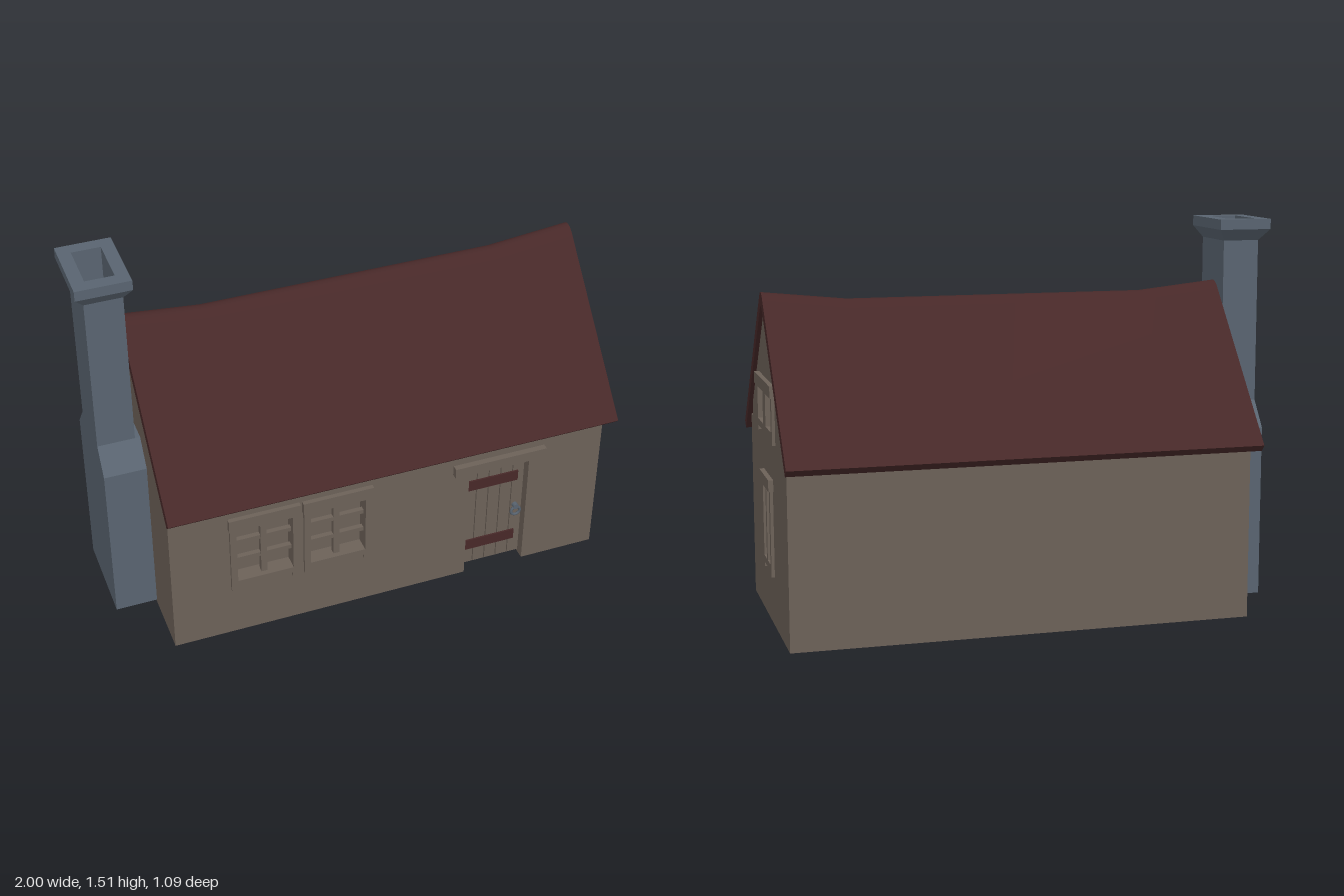
import * as THREE from 'three';
import { toCreasedNormals } from 'three/addons/utils/BufferGeometryUtils.js';

const mat = (name, color) => {
  const m = new THREE.MeshStandardMaterial({ color });
  m.name = name;
  return m;
};

export function createModel() {
  const plaster = mat('taupe plaster', 0x6c6158);
  const tile = mat('dark red', 0x472828);
  const stone = mat('blue grey stone', 0x596470);
  const house = new THREE.Group();
  house.name = 'cottage';

  const add = (parent, name, geo, material) => {
    const m = new THREE.Mesh(geo, material);
    m.name = name;
    parent.add(m);
    return m;
  };
  const box = (parent, name, material, x0, x1, y0, y1, z0, z1) => {
    const m = add(parent, name, new THREE.BoxGeometry(x1 - x0, y1 - y0, z1 - z0), material);
    m.position.set((x0 + x1) / 2, (y0 + y1) / 2, (z0 + z1) / 2);
    return m;
  };
  const poly = (pts) => pts.map(([a, b]) => new THREE.Vector2(a, b));
  const rect = (x0, x1, y0, y1) => [[x0, y0], [x1, y0], [x1, y1], [x0, y1]];
  // Flat panel in XY, running from z0 to z1
  const panel = (pts, holes, z0, z1, steps = 1) => {
    const shape = new THREE.Shape(poly(pts));
    shape.holes = holes.map((h) => new THREE.Path(poly(h)));
    return new THREE.ExtrudeGeometry(shape, { depth: z1 - z0, steps, bevelEnabled: false }).translate(0, 0, z0);
  };
  // Profile given as [z, y], running along x
  const prismX = (pts, holes, x0, x1, steps) => {
    const flip = (p) => p.map(([z, y]) => [-z, y]);
    return panel(flip(pts), holes.map(flip), x0, x1, steps).rotateY(Math.PI / 2);
  };
  // Plan rectangle with a hole, running upwards
  const ringY = (x0, x1, z0, z1, hole, y0, y1) =>
    panel(rect(x0, x1, -z1, -z0), [hole], y0, y1).rotateX(-Math.PI / 2);
  // Sagging ridge: place the four stations and lower the middle ones
  const sag = (geo, stations, base) => {
    const p = geo.attributes.position;
    const x0 = stations[0], span = stations[3] - x0;
    for (let i = 0; i < p.count; i++) {
      const k = Math.round(((p.getX(i) - x0) / span) * 3);
      p.setX(i, stations[k]);
      const y = p.getY(i);
      if ((k === 1 || k === 2) && y > base) p.setY(i, base + (y - base) * 0.942);
    }
    geo.computeVertexNormals();
    return toCreasedNormals(geo, 0.5);
  };

  // Roof
  const outer = [[0.545, 0.69], [0.05, 1.235], [0.034, 1.252], [0.017, 1.264], [0, 1.268]];
  const inner = [[0, 1.215], [0.015, 1.211], [0.032, 1.197], [0.52, 0.665]];
  const mirror = (pts) => pts.map(([z, y]) => [-z, y]).reverse();
  const roofPts = [...outer, ...mirror(outer).slice(1), ...mirror(inner), ...inner.slice(1)];
  add(house, 'roof', sag(prismX(roofPts, [], -0.818, 0.995, 3), [-0.818, -0.5, 0.67, 0.995], 0.69), tile);

  // Wall core
  const gableTop = [[0.032, 1.196], [0.015, 1.21], [0, 1.214], [-0.015, 1.21], [-0.032, 1.196], [-0.455, 0.733]];
  const corePts = [[-0.455, 0], [0.405, 0], [0.405, 0.788], ...gableTop];
  add(house, 'wallCore', sag(prismX(corePts, [], -0.8, 0.93, 3), [-0.8, -0.5, 0.67, 0.93], 0.69), plaster);

  // Front wall with door notch and window openings
  const frontX = [-0.428, -0.133];
  const frontPts = [[-0.8, 0], [0.415, 0], [0.415, 0.535], [0.67, 0.535], [0.67, 0], [0.98, 0], [0.98, 0.733], [-0.8, 0.733]];
  const frontHoles = frontX.map((x) => rect(x - 0.125, x + 0.125, 0.255, 0.54));
  add(house, 'frontWall', panel(frontPts, frontHoles, 0.405, 0.455), plaster);

  // Right-hand gable wall with two window openings
  const gablePts = [[-0.455, 0], [0.405, 0], [0.405, 0.788], ...gableTop];
  const gableHoles = [rect(-0.095, 0.095, 0.23, 0.54), rect(-0.185, 0.185, 0.75, 0.9)];
  add(house, 'gableWall', prismX(gablePts, gableHoles, 0.93, 0.98), plaster);

  // Window with its own frame, glazing bars and lintel; local z = 0 is the wall face
  const makeWindow = (name, half, y0, y1, lintel, openings, cols, rows) => {
    const g = new THREE.Group();
    g.name = name;
    const sill = y0 + 0.045;
    const leg = half - 0.03;
    const outline = [[-half, y0], [-leg, y0], [-leg, y0 + 0.018], [leg, y0 + 0.018], [leg, y0], [half, y0], [half, y1 + 0.01], [-half, y1 + 0.01]];
    add(g, 'windowFrame', panel(outline, openings.map(([a, b]) => rect(a, b, sill, y1)), -0.05, 0.012), plaster);
    for (const [a, b] of openings) {
      for (let i = 1; i < cols; i++) {
        const x = a + ((b - a) * i) / cols;
        box(g, 'glazingBar', plaster, x - 0.012, x + 0.012, sill, y1, -0.03, -0.008);
      }
      for (let j = 1; j < rows; j++) {
        const y = sill + ((y1 - sill) * j) / rows;
        box(g, 'glazingRail', plaster, a, b, y - 0.009, y + 0.009, -0.032, -0.012);
      }
    }
    box(g, 'windowLintel', plaster, -lintel, lintel, y1, y1 + 0.045, -0.01, 0.019);
    house.add(g);
    return g;
  };
  for (const x of frontX) {
    const w = makeWindow('frontWindow', 0.138, 0.225, 0.533, 0.142, [[-0.112, 0.112]], 2, 3);
    w.position.set(x, 0, 0.455);
    w.children.at(-1).scale.y = 1.15;
  }
  const low = makeWindow('sideWindow', 0.107, 0.195, 0.528, 0.119, [[-0.08, -0.012], [0.012, 0.08]], 1, 6);
  const high = makeWindow('atticWindow', 0.197, 0.718, 0.896, 0.206, [[-0.17, -0.033], [0.033, 0.17]], 2, 2);
  for (const w of [low, high]) {
    w.position.x = 0.98;
    w.rotation.y = Math.PI / 2;
  }

  // Door
  const door = new THREE.Group();
  door.name = 'door';
  house.add(door);
  for (let i = 0; i < 5; i++) {
    const x = 0.415 + i * 0.051;
    box(door, 'doorPlank', plaster, x + 0.002, x + 0.049, 0.015, 0.52, 0.4, 0.42);
  }
  for (const y of [0.09, 0.4]) box(door, 'doorStrap', tile, 0.415, 0.641, y, y + 0.047, 0.418, 0.427);
  box(door, 'doorLintel', plaster, 0.345, 0.73, 0.533, 0.576, 0.445, 0.48);
  const knob = add(door, 'handlePlate', new THREE.CylinderGeometry(0.012, 0.012, 0.02, 10).rotateX(Math.PI / 2), stone);
  knob.position.set(0.638, 0.268, 0.43);
  const ring = add(door, 'handleRing', new THREE.TorusGeometry(0.019, 0.006, 6, 16), stone);
  ring.position.set(0.638, 0.245, 0.434);

  // Chimney: wide base with sloping shoulders, then a hollow shaft
  const chimney = new THREE.Group();
  chimney.name = 'chimney';
  house.add(chimney);
  const basePts = [[-0.18, 0.012], [0.195, 0.012], [0.195, 0.69], [0.125, 0.79], [-0.1, 0.79], [-0.18, 0.69]];
  add(chimney, 'chimneyBase', prismX(basePts, [], -0.965, -0.8), stone);
  box(chimney, 'chimneyShaft', stone, -0.965, -0.82, 0.79, 1.28, -0.1, 0.125);
  const flue = rect(-0.95, -0.84, -0.105, 0.09);
  add(chimney, 'chimneyTop', ringY(-0.965, -0.82, -0.1, 0.125, flue, 1.28, 1.43), stone);

  // Flared collar: pull the lower rim in to meet the shaft
  const collar = ringY(-1, -0.79, -0.14, 0.158, flue, 1.43, 1.475);
  const p = collar.attributes.position;
  for (let i = 0; i < p.count; i++) {
    if (p.getY(i) > 1.45) continue;
    p.setX(i, THREE.MathUtils.clamp(p.getX(i), -0.965, -0.82));
    p.setZ(i, THREE.MathUtils.clamp(p.getZ(i), -0.1, 0.125));
  }
  collar.computeVertexNormals();
  add(chimney, 'chimneyCollar', collar, stone);
  add(chimney, 'chimneyCap', ringY(-1, -0.79, -0.14, 0.158, flue, 1.475, 1.515), stone);

  return house;
}
